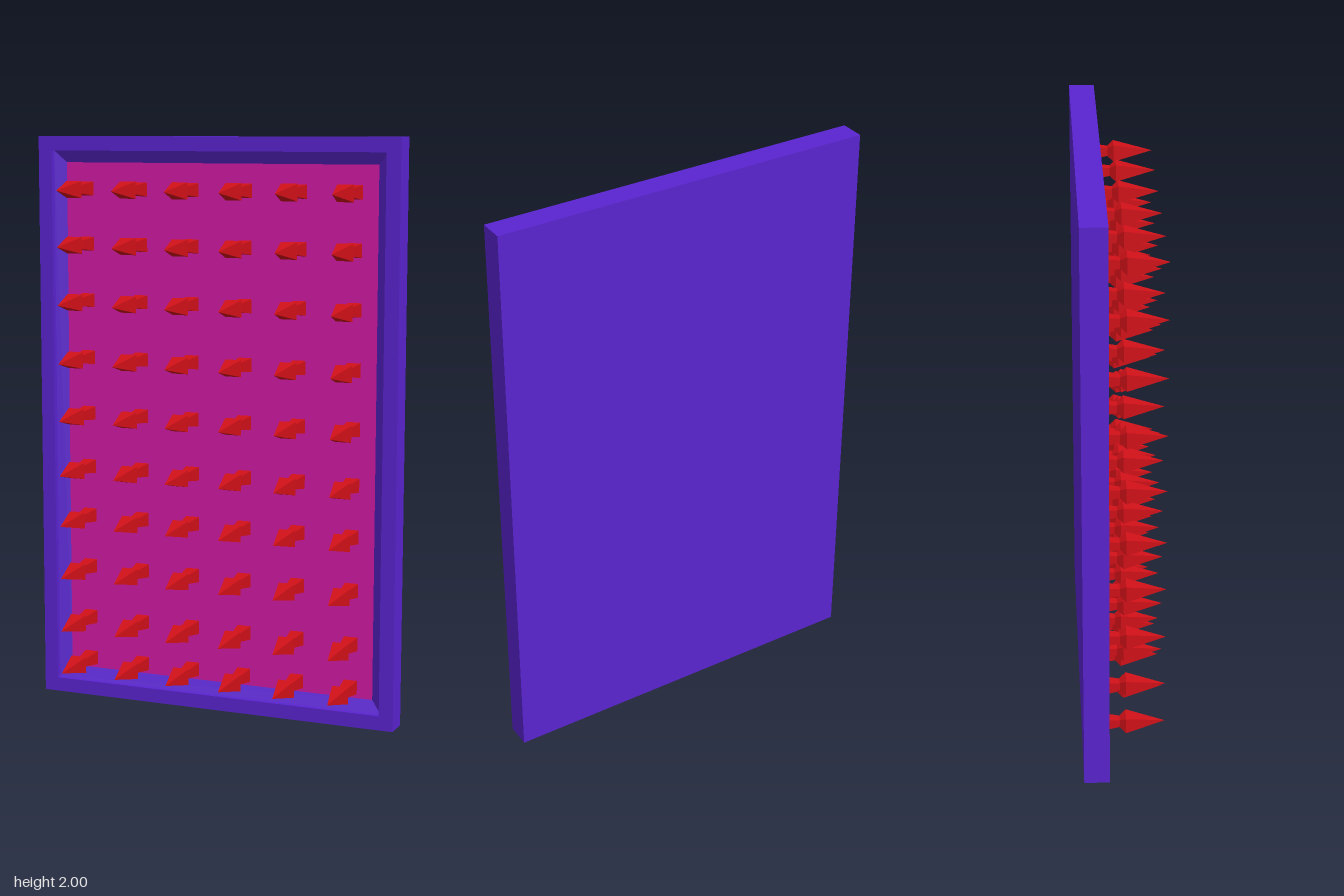
import * as THREE from 'three';

// Skin a series of axis-aligned rectangular sections [halfWidth, halfHeight, z]
function loftRects(sections, capBack, capFront) {
  const rings = sections.map(([w, h, z]) => [[-w, -h, z], [w, -h, z], [w, h, z], [-w, h, z]]);
  const pos = [];
  const quad = (a, b, c, d) => pos.push(...a, ...b, ...c, ...a, ...c, ...d);
  for (let i = 0; i < rings.length - 1; i++) {
    for (let k = 0; k < 4; k++) {
      const n = (k + 1) % 4;
      quad(rings[i][k], rings[i][n], rings[i + 1][n], rings[i + 1][k]);
    }
  }
  if (capBack) quad(...[...rings[0]].reverse());
  if (capFront) quad(...rings[rings.length - 1]);
  const geo = new THREE.BufferGeometry();
  geo.setAttribute('position', new THREE.Float32BufferAttribute(pos, 3));
  geo.computeVertexNormals();
  return geo;
}

export function createModel() {
  const model = new THREE.Group();
  model.name = 'spikePanel';
  const material = (color) => new THREE.MeshStandardMaterial({ color, flatShading: true });
  const add = (name, geo, mat, x, y, z) => {
    const mesh = new THREE.Mesh(geo, mat);
    mesh.name = name;
    mesh.position.set(x, y, z);
    return mesh;
  };

  // Tray-shaped frame: back, outer sides, rim, short wall and sloped inner lip
  const frame = loftRects([
    [0.662, 1, -0.142],
    [0.662, 1, -0.056],
    [0.612, 0.95, -0.056],
    [0.612, 0.95, -0.076],
    [0.574, 0.909, -0.1],
  ], true, false);
  model.add(add('frame', frame, material(0x5a24d0), 0, 1, 0));

  // Recessed panel inside the frame
  model.add(add('panel', new THREE.PlaneGeometry(1.148, 1.818), material(0xd41aa5), 0, 1, -0.1));

  // Square spikes: shaft tapering to a waist, then a pointed head
  const spike = loftRects([
    [0.024, 0.024, -0.1],
    [0.014, 0.014, -0.016],
    [0.029, 0.029, 0.005],
    [0, 0, 0.138],
  ], true, false);
  const red = material(0xd01018);
  const columns = [-0.495, -0.29, -0.096, 0.1, 0.298, 0.494];
  const rows = [0.128, 0.281, 0.469, 0.655, 0.833, 1.025, 1.225, 1.427, 1.626, 1.818];
  const spikes = new THREE.Group();
  spikes.name = 'spikes';
  for (const y of rows) for (const x of columns) spikes.add(add('spike', spike, red, x, y, 0));
  model.add(spikes);

  return model;
}
